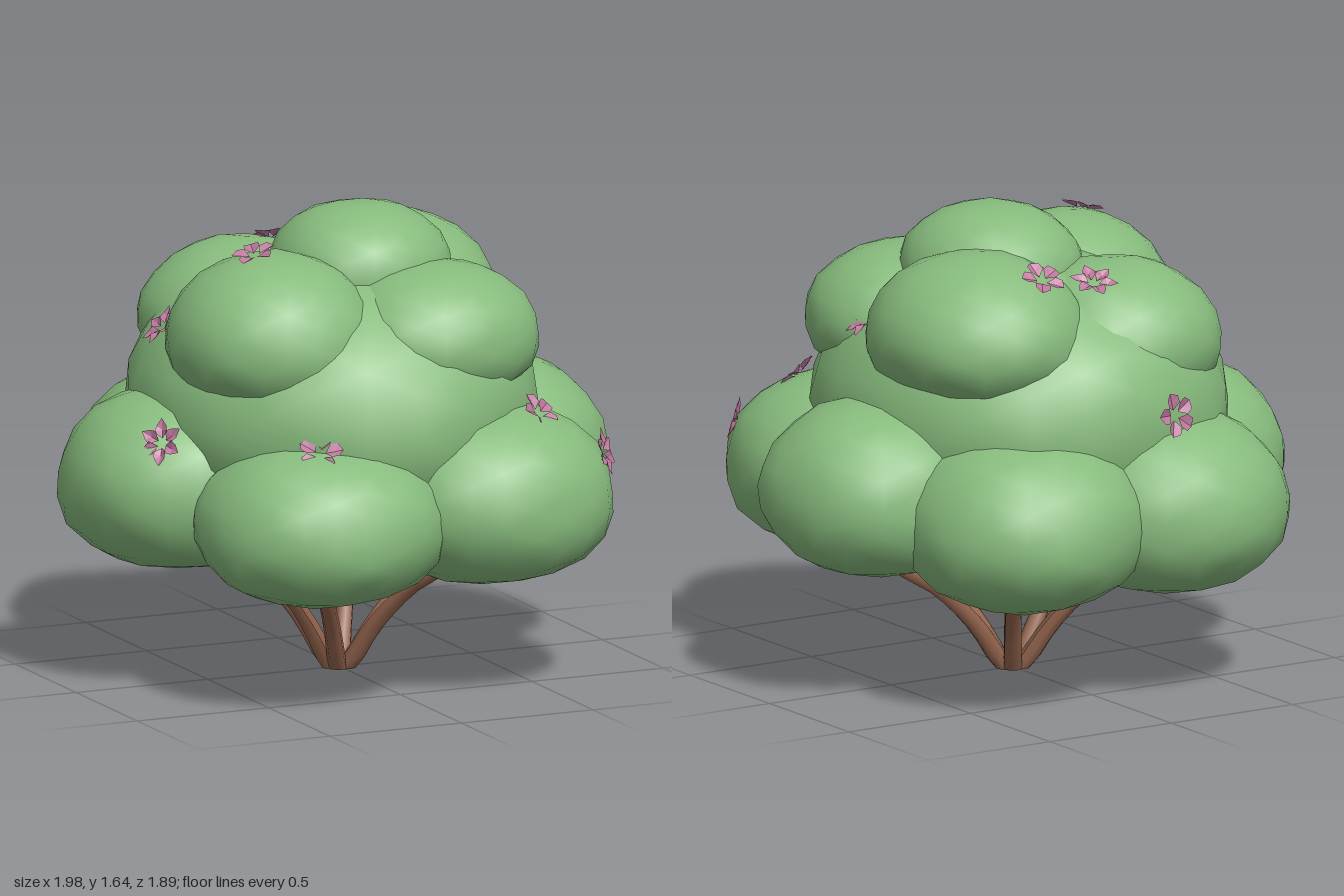
import * as THREE from 'three';
import { mergeVertices } from 'three/addons/utils/BufferGeometryUtils.js';

const mat = (name, color, extra = {}) => {
  const m = new THREE.MeshStandardMaterial({ color, ...extra });
  m.name = name;
  return m;
};

// Gently lumpy ellipsoid, narrowing toward the top, with smooth normals
function lobeGeometry(r, seed, power, taper) {
  let g = new THREE.IcosahedronGeometry(1, 3);
  g.deleteAttribute('uv');
  g.deleteAttribute('normal');
  g = mergeVertices(g, 1e-4);
  const p = g.attributes.position;
  const v = new THREE.Vector3();
  for (let i = 0; i < p.count; i++) {
    v.fromBufferAttribute(p, i).normalize();
    const n = Math.pow(Math.abs(v.x) ** power + Math.abs(v.y) ** power + Math.abs(v.z) ** power, -1 / power);
    const lump = Math.sin(v.x * 5 + seed * 1.7) * Math.sin(v.y * 5 + seed * 2.3) * Math.sin(v.z * 5 + seed * 3.1);
    v.multiplyScalar(n * (1 + 0.025 * lump));
    const side = 1 - taper * v.y;
    p.setXYZ(i, v.x * r[0] * side, v.y * r[1], v.z * r[2] * side);
  }
  g.computeVertexNormals();
  return g;
}

// Tapered, curved branch
function branchGeometry(points, r0, r1) {
  const seg = 10, sides = 7;
  const curve = new THREE.CatmullRomCurve3(points);
  const g = new THREE.TubeGeometry(curve, seg, 1, sides);
  const p = g.attributes.position;
  const v = new THREE.Vector3();
  for (let i = 0; i < p.count; i++) {
    const t = Math.floor(i / (sides + 1)) / seg;
    const c = curve.getPointAt(t);
    v.fromBufferAttribute(p, i).sub(c).multiplyScalar(r0 + (r1 - r0) * t).add(c);
    p.setXYZ(i, v.x, Math.max(0, v.y), v.z);
  }
  g.computeVertexNormals();
  return g;
}

// Ring of cupped petals facing +z with an open centre
function flowerGeometry(count, rounded) {
  const pos = [];
  const outline = rounded
    ? [[0.018, 0, 0.004], [0.038, -0.027, 0.02], [0.064, -0.026, 0.022], [0.08, 0, 0.014], [0.064, 0.026, 0.022], [0.038, 0.027, 0.02]]
    : [[0.018, 0, 0.004], [0.036, -0.025, 0.022], [0.06, -0.019, 0.018], [0.086, 0, 0.02], [0.06, 0.019, 0.018], [0.036, 0.025, 0.022]];
  const mid = [0.046, 0, 0.008];
  for (let k = 0; k < count; k++) {
    const a = (k / count) * Math.PI * 2, c = Math.cos(a), s = Math.sin(a);
    const put = ([x, y, z]) => pos.push(x * c - y * s, x * s + y * c, z);
    outline.forEach((o, i) => {
      put(mid);
      put(o);
      put(outline[(i + 1) % outline.length]);
    });
  }
  const g = new THREE.BufferGeometry();
  g.setAttribute('position', new THREE.Float32BufferAttribute(pos, 3));
  g.computeVertexNormals();
  return g;
}

export function createModel() {
  const group = new THREE.Group();
  group.name = 'floweringBush';
  const leaf = mat('leafGreen', 0x87bb7d);
  const bark = mat('barkBrown', 0x93644d);
  const pink = mat('petalPink', 0xc0789f, { side: THREE.DoubleSide });

  // Foliage: name, centre, radii, squareness, taper
  const lobes = [
    ['foliageCore', [-0.03, 0.95, 0], [0.7, 0.53, 0.76], 2.05, 0],
    ['lowerFrontLeft', [0.33, 0.69, 0.5], [0.43, 0.31, 0.42], 2.25, 0.06],
    ['lowerFrontRight', [-0.31, 0.65, 0.51], [0.43, 0.29, 0.42], 2.25, 0.06],
    ['lowerBackLeft', [0.28, 0.66, -0.5], [0.42, 0.31, 0.42], 2.25, 0.06],
    ['lowerBackRight', [-0.28, 0.67, -0.52], [0.42, 0.32, 0.43], 2.25, 0.06],
    ['lowerLeft', [0.58, 0.735, -0.06], [0.41, 0.305, 0.4], 2.25, 0.07],
    ['lowerRight', [-0.58, 0.72, -0.05], [0.41, 0.315, 0.42], 2.25, 0.07],
    ['upperFrontRight', [-0.35, 1.26, 0.21], [0.36, 0.27, 0.37], 2.2, 0.1],
    ['upperFrontLeft', [0.2, 1.235, 0.32], [0.37, 0.24, 0.35], 2.25, 0.08],
    ['upperBackLeft', [0.28, 1.28, -0.21], [0.37, 0.27, 0.41], 2.1, 0.1],
    ['upperBackRight', [-0.22, 1.22, -0.29], [0.37, 0.26, 0.37], 2.15, 0.1],
    ['crown', [0.06, 1.42, 0.04], [0.31, 0.225, 0.32], 2.2, 0.04],
  ];
  const foliage = new THREE.Group();
  foliage.name = 'foliage';
  lobes.forEach(([name, c, r, power, taper], i) => {
    const m = new THREE.Mesh(lobeGeometry(r, i + 1, power, taper), leaf);
    m.name = name;
    m.position.set(...c);
    foliage.add(m);
  });
  group.add(foliage);
  foliage.updateMatrixWorld(true);

  // Branches fanning out from the base
  const tips = [[0.48, -0.01], [0.23, -0.36], [-0.3, -0.34], [-0.37, 0.07], [-0.28, 0.42], [0.23, 0.4]];
  tips.forEach(([x, z], i) => {
    const len = Math.hypot(x, z), bx = (x / len) * 0.035, bz = (z / len) * 0.035;
    const pts = [
      new THREE.Vector3(bx, 0, bz),
      new THREE.Vector3(bx + x * 0.25, 0.17, bz + z * 0.25),
      new THREE.Vector3(x * 0.66, 0.32, z * 0.66),
      new THREE.Vector3(x, 0.42, z),
      new THREE.Vector3(x * 1.15, 0.52, z * 1.15),
    ];
    const b = new THREE.Mesh(branchGeometry(pts, 0.034, 0.02), bark);
    b.name = 'branch' + (i + 1);
    group.add(b);
  });
  const base = new THREE.Mesh(new THREE.CylinderGeometry(0.045, 0.05, 0.04, 9), bark);
  base.name = 'trunkBase';
  base.position.y = 0.02;
  group.add(base);

  // Flowers laid onto the leaf surface along rays toward the middle
  const spots = [
    [-0.4, 1.49, 0.2], [-0.76, 0.9, 0.23], [-0.4, 0.925, 0.7], [0.54, 1.3, 0.13], [0.48, 0.98, 0.65],
    [0.68, 0.83, 0.69], [0.17, 1.46, -0.44], [-0.06, 1.43, -0.42], [-0.18, 1.0, -0.7], [-0.63, 1.24, -0.1],
  ];
  const shapes = [flowerGeometry(5, true), flowerGeometry(6, false)];
  const middle = new THREE.Vector3(0, 0.7, 0);
  const ray = new THREE.Raycaster();
  spots.forEach((s, i) => {
    const dir = new THREE.Vector3(...s).sub(middle).normalize();
    ray.set(middle.clone().addScaledVector(dir, 3), dir.clone().negate());
    const hit = ray.intersectObject(foliage, true)[0];
    const f = new THREE.Mesh(shapes[i % 2], pink);
    f.name = 'flower' + (i + 1);
    // Lean each flower halfway between the surface normal and the outward ray
    const facing = hit.face.normal.clone().add(dir).normalize();
    f.position.copy(hit.point).addScaledVector(facing, 0.003);
    f.lookAt(f.position.clone().add(facing));
    f.rotateZ(i * 0.7);
    group.add(f);
  });
  return group;
}
